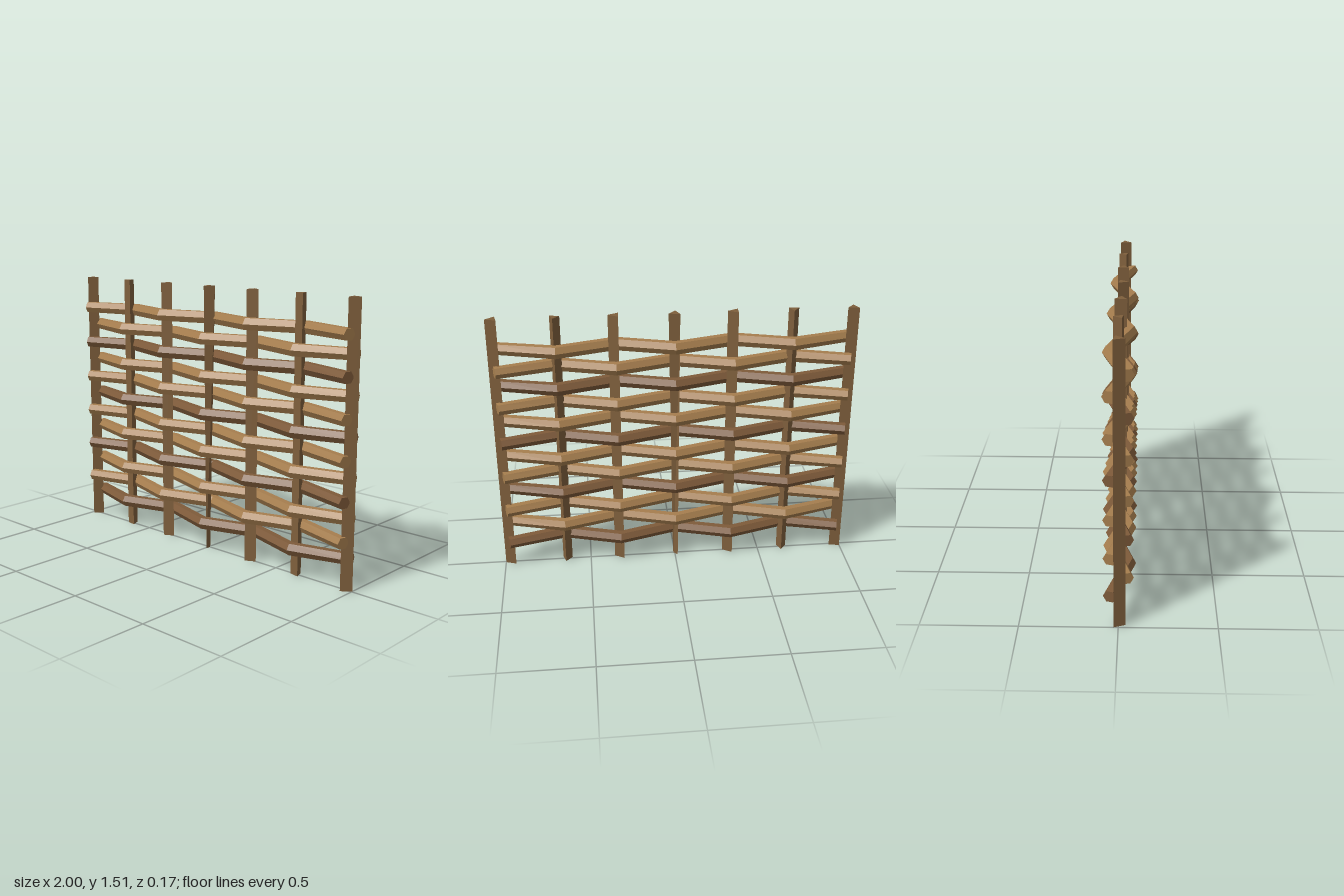
import * as THREE from 'three';

const lightWood = new THREE.MeshStandardMaterial({ color: 0xa67e4e, flatShading: true });
lightWood.name = 'light withy';
const darkWood = new THREE.MeshStandardMaterial({ color: 0x7f5b3a, flatShading: true });
darkWood.name = 'dark withy';
const postWood = new THREE.MeshStandardMaterial({ color: 0x7f5f3c, flatShading: true });
postWood.name = 'stake wood';

const HEIGHT = 1.51;

// Stakes: x position, turn of the front face in degrees, radius
const STAKES = [
  [-0.972, 50, 0.036], [-0.645, -8, 0.032], [-0.323, 28, 0.037], [0, 50, 0.036],
  [0.32, 28, 0.037], [0.64, -12, 0.032], [0.963, 40, 0.037],
];

// Three-sided split stake
function makeStake([x, turn, r]) {
  const start = THREE.MathUtils.degToRad(turn - 60);
  const geo = new THREE.CylinderGeometry(r, r, HEIGHT, 3, 1, false, start);
  geo.translate(0, HEIGHT / 2, 0);
  return { geo, x };
}

// Flatten the foot of a stake to a blade lying along the given angle
function sharpenFoot(geo, degrees) {
  const a = THREE.MathUtils.degToRad(degrees);
  const p = geo.attributes.position;
  for (let i = 0; i < p.count; i++) {
    if (p.getY(i) > 0.01) continue;
    const across = p.getX(i) * Math.cos(a) - p.getZ(i) * Math.sin(a);
    p.setX(i, p.getX(i) - across * Math.cos(a) * 0.8);
    p.setZ(i, p.getZ(i) + across * Math.sin(a) * 0.8);
  }
  geo.computeVertexNormals();
}

// Six-sided withy, bent to pass in front of and behind alternate stakes
function makeWithy(side) {
  const n = STAKES.length - 1;
  const geo = new THREE.CylinderGeometry(1, 1, 1, 6, n);
  geo.rotateZ(-Math.PI / 2);
  const p = geo.attributes.position;
  for (let i = 0; i < p.count; i++) {
    const k = Math.round((p.getX(i) + 0.5) * n);
    const end = k === 0 || k === n;
    const weave = side * (k % 2 ? -1 : 1);
    const r = end ? 0.034 : 0.037;
    // End cuts are square to the slanting withy
    const slope = end ? weave * (k === 0 ? -0.3 : 0.3) : 0;
    const cx = end ? Math.sign(k - 1) * 0.968 : STAKES[k][0];
    const z = p.getZ(i) * r;
    p.setXYZ(i, cx - slope * z, p.getY(i) * r, weave * (end ? 0.043 : 0.049) + z);
  }
  geo.computeVertexNormals();
  return geo;
}

export function createModel() {
  const model = new THREE.Group();
  model.name = 'wattleFence';

  const stakes = new THREE.Group();
  stakes.name = 'stakes';
  STAKES.forEach((spec, i) => {
    const { geo, x } = makeStake(spec);
    if (i === 3) sharpenFoot(geo, 22);
    const stake = new THREE.Mesh(geo, postWood);
    stake.name = `stake${i + 1}`;
    stake.position.x = x;
    stakes.add(stake);
  });
  model.add(stakes);

  // Woven rows, every third one darker
  const withies = new THREE.Group();
  withies.name = 'withies';
  const shapes = [makeWithy(-1), makeWithy(1)];
  for (let row = 0; row < 12; row++) {
    const withy = new THREE.Mesh(shapes[row % 2], row % 3 === 0 ? darkWood : lightWood);
    withy.name = `withy${row + 1}`;
    withy.position.y = 0.158 + row * 0.1065;
    withies.add(withy);
  }
  model.add(withies);
  return model;
}
